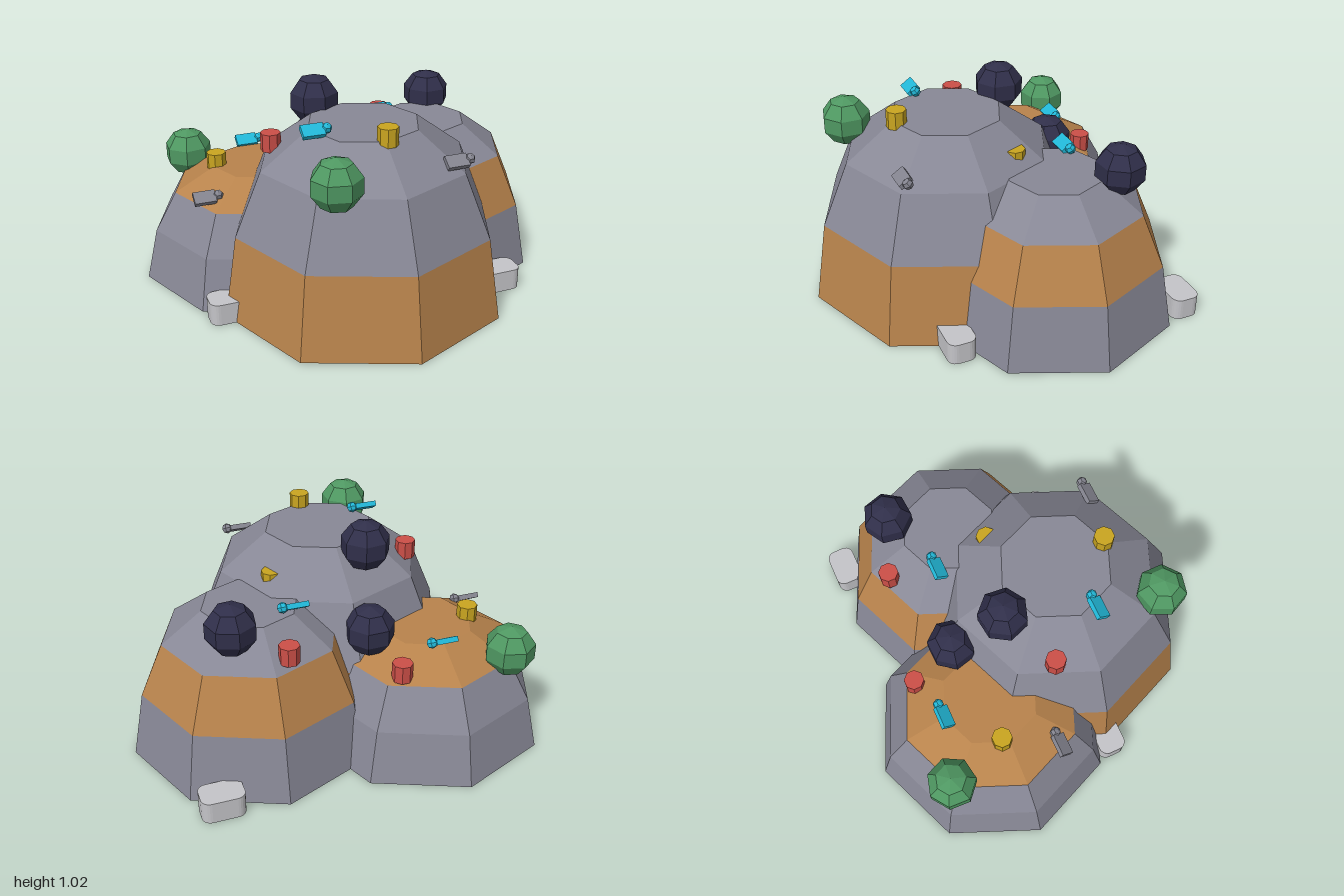
import * as THREE from 'three';

const mat = (name, color) => {
  const m = new THREE.MeshStandardMaterial({ color, flatShading: true });
  m.name = name;
  return m;
};

export function createModel() {
  const root = new THREE.Group();
  root.name = 'domeCluster';
  const stone = mat('stone grey', 0x888896);
  const clay = mat('clay orange', 0xb8834c);
  const leaf = mat('leaf green', 0x4f9862);
  const night = mat('dark indigo', 0x302f4a);
  const red = mat('red', 0xcc4f48);
  const yellow = mat('yellow', 0xc9a520);
  const cyan = mat('cyan', 0x22b8d8);
  const steel = mat('steel grey', 0x84848f);
  const pale = mat('pale grey', 0xc4c4c8);

  const add = (parent, name, geo, material, x, y, z) => {
    const m = new THREE.Mesh(geo, material);
    m.name = name;
    m.position.set(x, y, z);
    parent.add(m);
    return m;
  };

  // Eight-sided domes: stacked bands from [radius, height] rings, closed by flat caps
  const dome = (name, x, z, rings, bands, capMat, baseMat, baseY) => {
    const g = new THREE.Group();
    g.name = name;
    g.position.set(x, 0, z);
    root.add(g);
    bands.forEach((material, i) => {
      const [r0, y0] = rings[i], [r1, y1] = rings[i + 1];
      add(g, 'band' + (i + 1), new THREE.CylinderGeometry(r1, r0, y1 - y0, 8, 1, true), material, 0, (y0 + y1) / 2, 0);
    });
    const [topR, topY] = rings[rings.length - 1];
    add(g, 'topCap', new THREE.CircleGeometry(topR, 8).rotateX(-Math.PI / 2), capMat, 0, topY, 0);
    add(g, 'base', new THREE.CircleGeometry(rings[0][0], 8).rotateX(Math.PI / 2), baseMat, 0, baseY, 0);
  };
  dome('frontDome', -0.04, 0.2, [[0.69, 0], [0.627, 0.4], [0.498, 0.704], [0.267, 0.878]],
    [clay, stone, stone], stone, clay, 0.002);
  dome('rightDome', 0.41, -0.15, [[0.59, 0], [0.53, 0.32], [0.42, 0.57], [0.228, 0.713]],
    [stone, clay, stone], stone, stone, 0);
  dome('backDome', -0.4, -0.3, [[0.6, 0], [0.54, 0.25], [0.432, 0.438], [0.232, 0.546]],
    [stone, stone, clay], clay, stone, 0);

  // Faceted balls sitting on the domes
  const ballGeo = new THREE.SphereGeometry(0.122, 7, 5);
  [
    ['greenBall', leaf, -0.325, 0.785, 0.61],
    ['greenBall', leaf, -0.69, 0.515, -0.62],
    ['darkBall', night, -0.165, 0.9, -0.12],
    ['darkBall', night, 0.56, 0.75, -0.4],
    ['darkBall', night, -0.1, 0.59, -0.36],
  ].forEach(([name, m, x, y, z], i) => { add(root, name, ballGeo, m, x, y, z).rotation.y = i * 0.4; });

  // Small upright drums
  const drumGeo = new THREE.CylinderGeometry(0.048, 0.048, 0.086, 8);
  [
    ['yellowDrum', yellow, -0.025, 0.9, 0.45],
    ['yellowDrum', yellow, -0.61, 0.565, -0.33],
    ['yellowDrum', yellow, 0.265, 0.742, -0.015],
    ['redDrum', red, -0.43, 0.773, 0.02],
    ['redDrum', red, -0.17, 0.492, -0.59],
    ['redDrum', red, 0.33, 0.637, -0.5],
  ].forEach(([name, m, x, y, z]) => { add(root, name, drumGeo, m, x, y, z).rotation.y = Math.PI / 8; });

  // Tilted flat blocks with a faceted knob on one end
  const blockGeo = new THREE.BoxGeometry(0.105, 0.025, 0.065);
  const knobGeo = new THREE.SphereGeometry(0.026, 6, 4);
  [
    ['cyanBlock', cyan, -0.313, 0.9, 0.282],
    ['cyanBlock', cyan, -0.402, 0.565, -0.53],
    ['cyanBlock', cyan, 0.227, 0.735, -0.283],
    ['steelBlock', steel, 0.274, 0.76, 0.53],
    ['steelBlock', steel, -0.735, 0.488, -0.08],
  ].forEach(([name, m, x, y, z]) => {
    const g = new THREE.Group();
    g.name = name;
    g.position.set(x, y, z);
    g.rotation.x = 0.6;
    add(g, 'body', blockGeo, m, 0, 0, 0);
    add(g, 'knob', knobGeo, m, 0.066, 0.002, -0.005);
    root.add(g);
  });

  // Pale rounded stones at the foot of the domes
  const w = 0.1, d = 0.068, r = 0.042;
  const outline = new THREE.Shape();
  [[1, 1, 0], [-1, 1, 1], [-1, -1, 2], [1, -1, 3]].forEach(([sx, sy, q]) =>
    outline.absarc(sx * (w - r), sy * (d - r), r, q * Math.PI / 2, (q + 1) * Math.PI / 2, false));
  const stoneGeo = new THREE.ExtrudeGeometry(outline, { depth: 0.106, bevelEnabled: false, curveSegments: 3 });
  stoneGeo.rotateX(-Math.PI / 2);
  [[0.705, -0.675], [0.585, 0.412], [-0.712, 0.205]].forEach(([x, z]) =>
    add(root, 'footStone', stoneGeo, pale, x, 0, z));

  return root;
}
